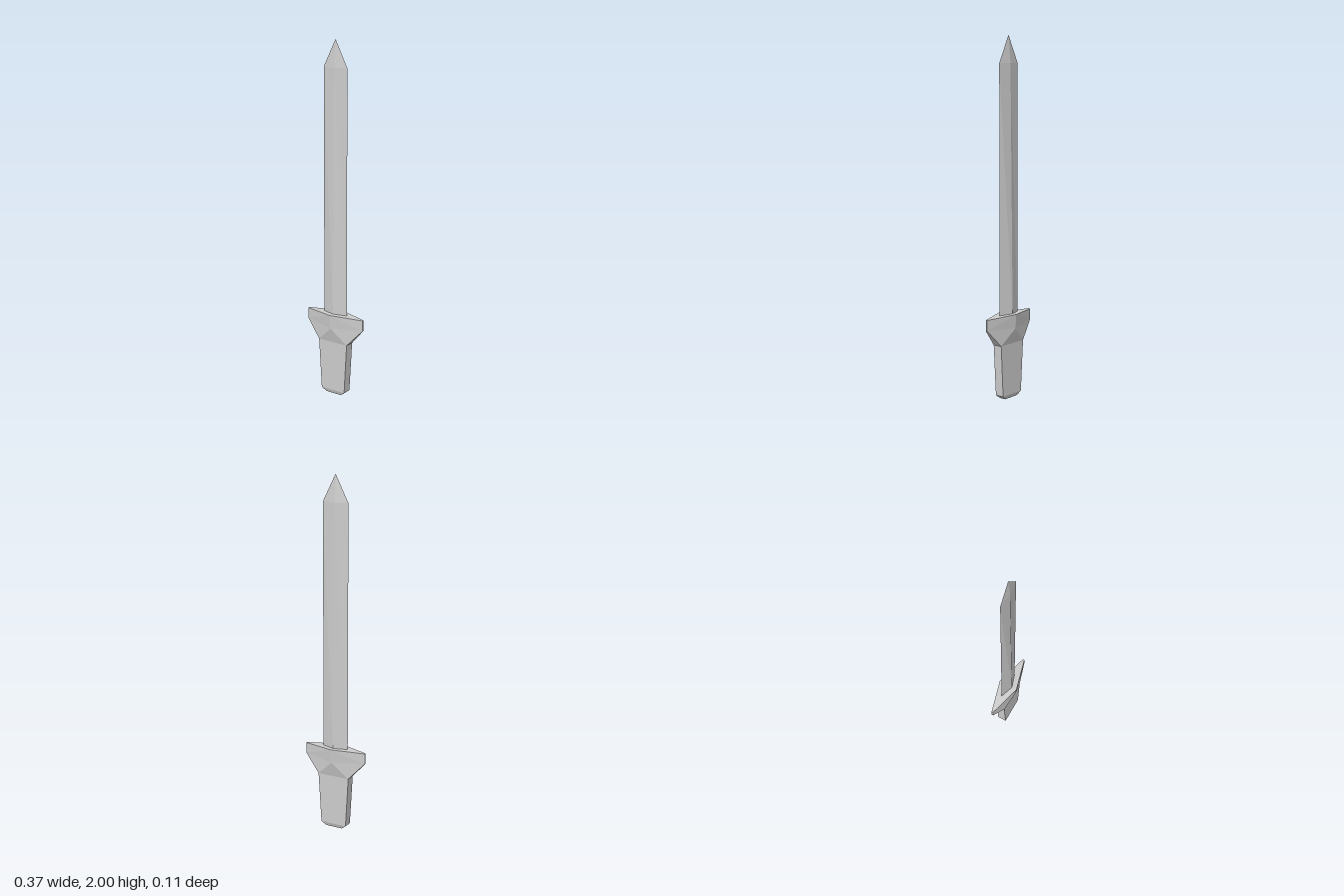
import * as THREE from 'three';

const material = new THREE.MeshStandardMaterial({ color: 0xcccccc, flatShading: true });

// Skins rings of [x, y, z] points (bottom to top, each running from +x towards +z) and caps both ends.
// flip(i) picks the other diagonal for side i.
function loft(name, rings, flip = () => false) {
  const position = [];
  const pts = rings.map(r => r.map(p => new THREE.Vector3(...p)));
  const tri = (a, b, c) => {
    if (new THREE.Triangle(a, b, c).getArea() < 1e-9) return;
    for (const p of [a, b, c]) position.push(p.x, p.y, p.z);
  };
  const n = pts[0].length;
  const centre = ring => ring.reduce((s, p) => s.add(p), new THREE.Vector3()).divideScalar(n);
  const first = pts[0], last = pts[pts.length - 1];
  const c0 = centre(first), c1 = centre(last);
  if (n === 6) c1.y = last[1].y; // keep the ridge of the guard's top level
  for (let i = 0; i < n; i++) {
    const j = (i + 1) % n;
    for (let k = 0; k < pts.length - 1; k++) {
      const a = pts[k], b = pts[k + 1];
      if (flip(i)) {
        tri(a[i], b[i], a[j]);
        tri(a[j], b[i], b[j]);
      } else {
        tri(a[i], b[j], a[j]);
        tri(a[i], b[i], b[j]);
      }
    }
    tri(c0, first[i], first[j]);
    tri(c1, last[j], last[i]);
  }
  const geometry = new THREE.BufferGeometry();
  geometry.setAttribute('position', new THREE.Float32BufferAttribute(position, 3));
  geometry.computeVertexNormals();
  const mesh = new THREE.Mesh(geometry, material);
  mesh.name = name;
  return mesh;
}

// Cross-sections
const rectangle = (y, x, z) => [[x, y, z], [-x, y, z], [-x, y, -z], [x, y, -z]];
const diamond = (y, x, front, back) => [[x, y, 0], [0, y, front], [-x, y, 0], [0, y, -back]];
const hexagon = (yEnd, x, z, yMid, zMid) => [
  [x, yEnd, z], [0, yMid, zMid], [-x, yEnd, z],
  [-x, yEnd, -z], [0, yMid, -zMid], [x, yEnd, -z],
];

export function createModel() {
  const sword = new THREE.Group();
  sword.name = 'sword';

  // Tapered grip with a chamfered foot
  sword.add(loft('grip', [
    rectangle(0, 0.05, 0.018),
    rectangle(0.022, 0.078, 0.026),
    rectangle(0.312, 0.095, 0.027),
  ]));

  // Guard flaring from the grip to two narrow ends
  sword.add(loft('guard', [
    hexagon(0.312, 0.095, 0.027, 0.312, 0.027),
    hexagon(0.412, 0.187, 0.005, 0.4, 0.05),
    hexagon(0.472, 0.187, 0.005, 0.479, 0.056),
  ], i => i % 3 === 1));

  // Diamond-section blade, thinning towards the point
  sword.add(loft('blade', [
    diamond(0.46, 0.077, 0.026, 0.03),
    diamond(1.85, 0.077, 0.011, 0.014),
    diamond(2, 0, 0, 0),
  ]));

  return sword;
}
